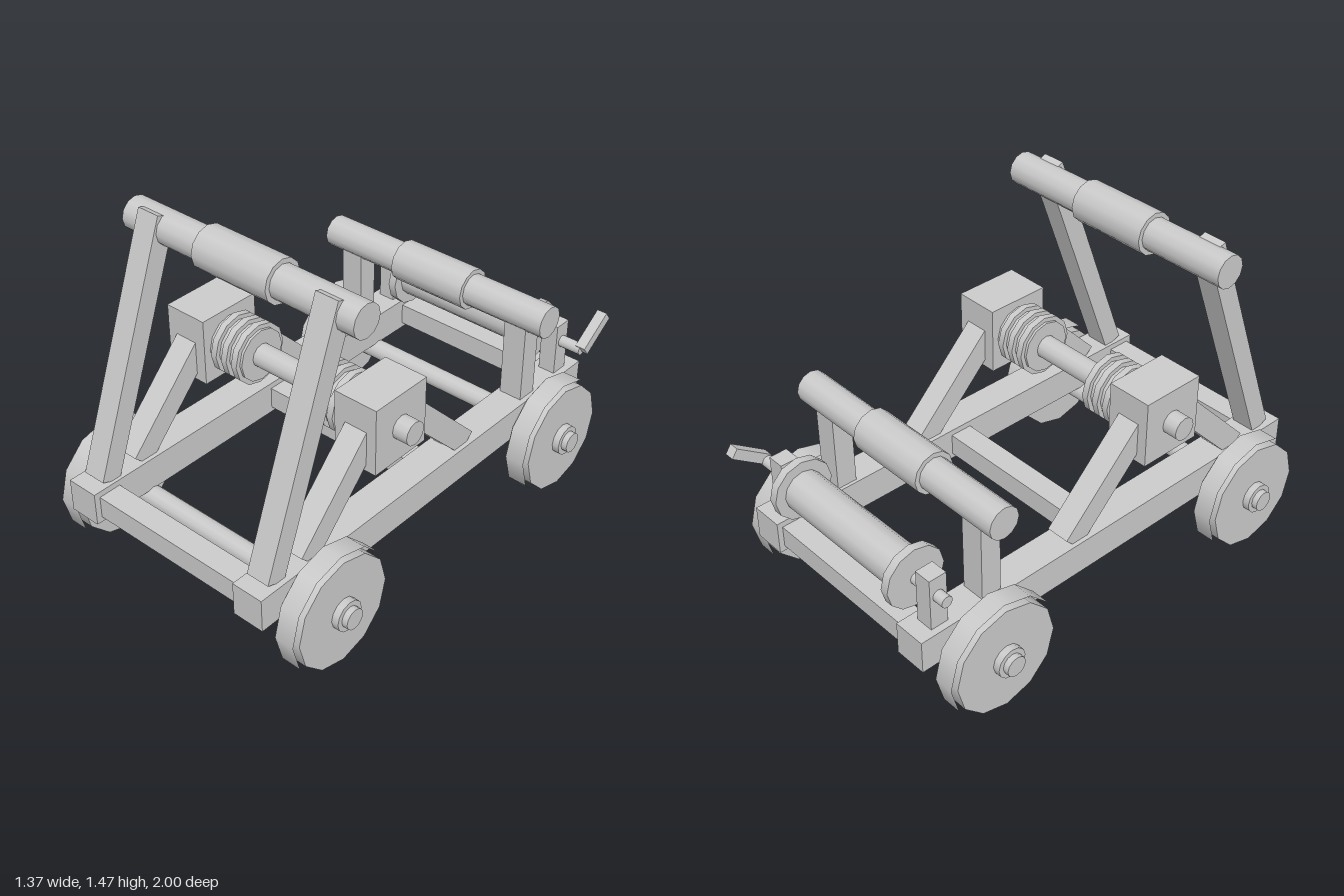
import * as THREE from 'three';

export function createModel() {
  const model = new THREE.Group();
  const mat = new THREE.MeshStandardMaterial({ color: 0xcccccc });

  const add = (name, geo) => {
    const mesh = new THREE.Mesh(geo, mat);
    mesh.name = name;
    model.add(mesh);
    return mesh;
  };
  // Box from its limits on each axis
  const box = (name, x0, x1, y0, y1, z0, z1) =>
    add(name, new THREE.BoxGeometry(Math.abs(x1 - x0), y1 - y0, z1 - z0))
      .position.set((x0 + x1) / 2, (y0 + y1) / 2, (z0 + z1) / 2);
  // Rod along x
  const rod = (name, x0, x1, y, z, r, sides = 12, open = false) =>
    add(name, new THREE.CylinderGeometry(r, r, Math.abs(x1 - x0), sides, 1, open).rotateZ(Math.PI / 2))
      .position.set((x0 + x1) / 2, y, z);
  // Sloping beam between two (z, y) points
  const beam = (name, x, z0, y0, z1, y1, width, depth) => {
    const mesh = add(name, new THREE.BoxGeometry(width, Math.hypot(z1 - z0, y1 - y0), depth));
    mesh.position.set(x, (y0 + y1) / 2, (z0 + z1) / 2);
    mesh.rotation.x = Math.atan2(z1 - z0, y1 - y0);
  };

  // Cross members of the frame
  for (const z of [0.925, -0.018, -0.88]) box('crossBeam', -0.37, 0.37, 0.315, 0.41, z - 0.05, z + 0.05);

  // Axles
  const axles = [0.71, -0.663];
  for (const z of axles) rod('axle', -0.685, 0.685, 0.255, z, 0.044);

  // Padded front and rear rollers
  for (const [name, y, z] of [['front', 1.378, 0.513], ['rear', 0.823, -0.605]]) {
    rod(name + 'Roller', -0.56, 0.56, y, z, 0.069);
    rod(name + 'Sleeve', -0.18, 0.18, y, z, 0.089);
  }

  // Central shaft and rear winch
  rod('centralShaft', -0.595, 0.595, 0.798, 0.28, 0.05);
  rod('winchShaft', -0.525, 0.575, 0.58, -0.845, 0.025);
  rod('winchDrum', -0.32, 0.32, 0.58, -0.845, 0.086);
  beam('crankHandle', 0.578, -0.838, 0.583, -0.985, 0.688, 0.045, 0.045);

  // Parts mirrored on both sides
  for (const s of [1, -1]) {
    box('sideRail', s * 0.365, s * 0.505, 0.292, 0.435, -0.953, 1);
    beam('frontLeg', s * 0.431, 0.9, 0.435, 0.526, 1.435, 0.102, 0.088);
    box('rearPost', s * 0.38, s * 0.482, 0.42, 0.82, -0.647, -0.557);

    // Bearing block with its two struts and wound rope
    box('bearingBlock', s * 0.335, s * 0.53, 0.655, 0.943, 0.14, 0.422);
    beam('frontStrut', s * 0.435, 0.735, 0.43, 0.36, 0.82, 0.102, 0.1);
    beam('rearStrut', s * 0.435, -0.19, 0.43, 0.2, 0.82, 0.102, 0.1);
    rod('ropeCoil', s * 0.165, s * 0.336, 0.798, 0.28, 0.112);
    for (let i = 0; i < 3; i++) {
      const x = s * (0.19 + i * 0.054);
      rod('ropeTurn', x - 0.014, x + 0.014, 0.798, 0.28, 0.131);
    }

    // Winch flange and support
    rod('winchFlange', s * 0.317, s * 0.353, 0.58, -0.845, 0.131);
    box('winchPost', s * 0.4, s * 0.476, 0.43, 0.665, -0.883, -0.805);

    // Wheels: a disc inside a thin open tyre band, with a hub
    for (const z of axles) {
      rod('wheelDisc', s * 0.52, s * 0.63, 0.255, z, 0.235);
      rod('wheelBand', s * 0.532, s * 0.618, 0.255, z, 0.255, 12, true);
      rod('wheelHub', s * 0.5, s * 0.66, 0.255, z, 0.065);
    }
  }
  return model;
}
